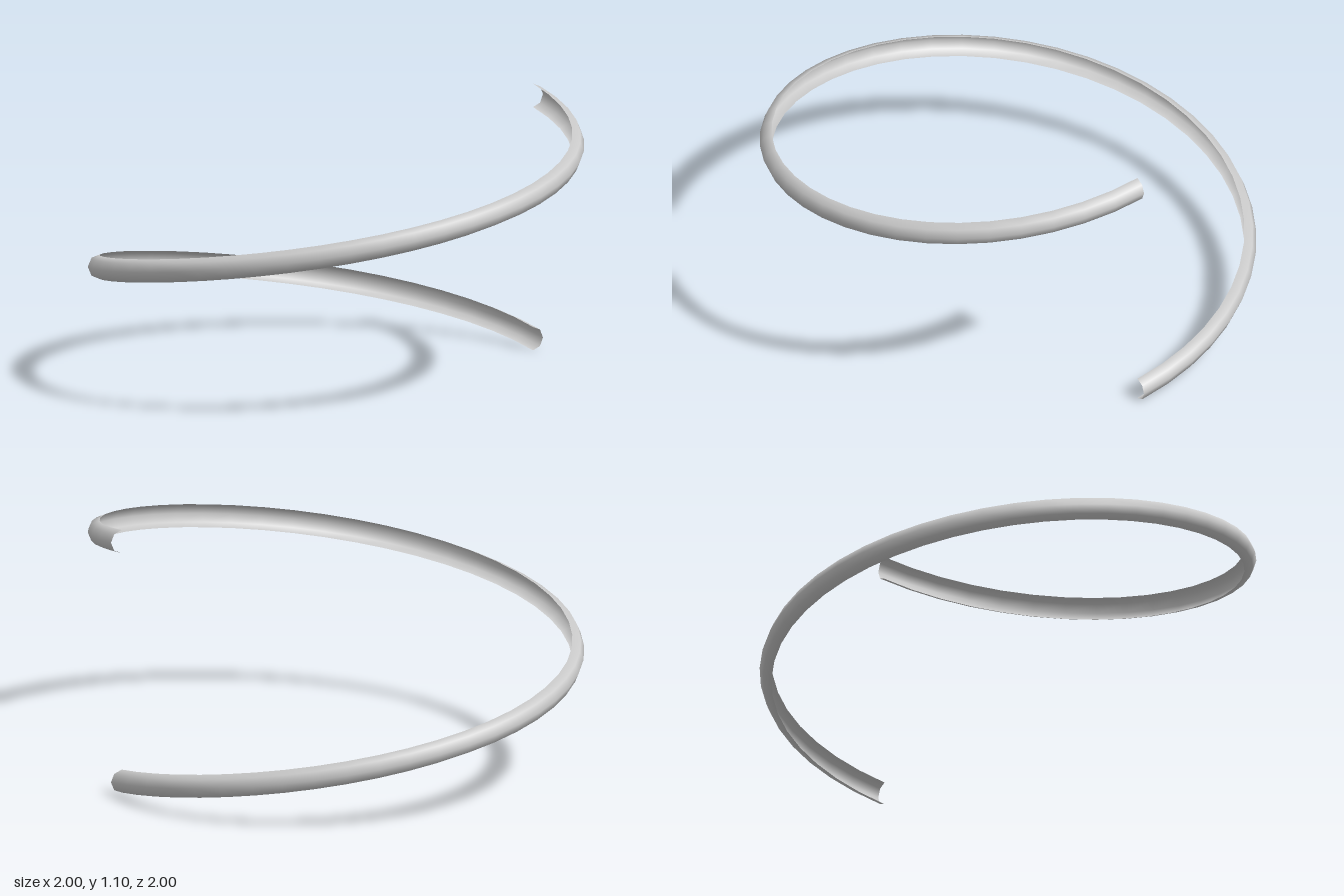
import * as THREE from 'three';
import { ParametricGeometry } from 'three/addons/geometries/ParametricGeometry.js';

const RADIUS = 0.951;  // helix radius at the channel's open edges
const SECTION = 0.048; // radius of the half-round section
const PITCH = 1.0;     // rise over the single turn
const BASE = 0.053;    // height of the section centre at the lower end

export function createModel() {
  const group = new THREE.Group();
  group.name = 'helicalChannel';

  // One turn of a half-round channel, open towards the axis
  const surface = (u, v, target) => {
    const turn = u * Math.PI * 2;
    const arc = (v - 0.5) * Math.PI;
    const r = RADIUS + SECTION * Math.cos(arc);
    target.set(
      r * Math.cos(turn),
      BASE + PITCH * u + SECTION * Math.sin(arc),
      -r * Math.sin(turn)
    );
  };

  const channel = new THREE.Mesh(
    new ParametricGeometry(surface, 48, 4),
    new THREE.MeshStandardMaterial({ color: 0xcccccc, side: THREE.DoubleSide })
  );
  channel.name = 'channel';
  group.add(channel);
  return group;
}
